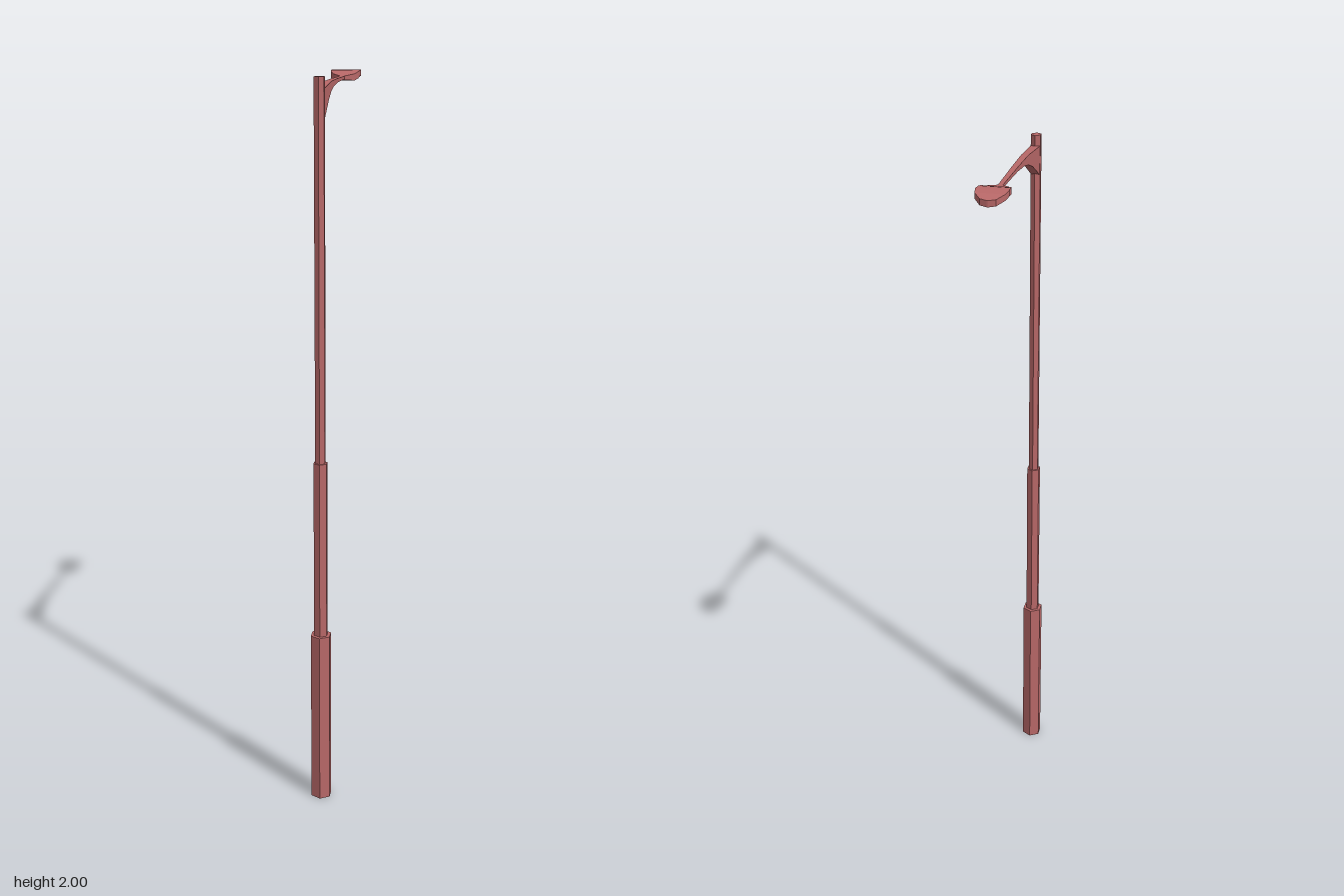
import * as THREE from 'three';

const material = new THREE.MeshStandardMaterial({ color: 0xb86868, flatShading: true });
const POLE_Z = 0.255;

function addMesh(group, name, geometry) {
  const mesh = new THREE.Mesh(geometry, material);
  mesh.name = name;
  group.add(mesh);
  return mesh;
}

// Loft of rectangular sections [z, half width, bottom y, top y], running towards -z
function loft(sections) {
  const positions = [];
  const index = [];
  for (const [z, w, b, t] of sections) positions.push(-w, b, z, w, b, z, w, t, z, -w, t, z);
  for (let s = 0; s < sections.length - 1; s++) {
    for (let i = 0; i < 4; i++) {
      const a = s * 4 + i;
      const b = s * 4 + (i + 1) % 4;
      index.push(a, b + 4, b, a, a + 4, b + 4);
    }
  }
  const e = (sections.length - 1) * 4;
  index.push(0, 1, 2, 0, 2, 3, e, e + 2, e + 1, e, e + 3, e + 2);
  const geometry = new THREE.BufferGeometry();
  geometry.setAttribute('position', new THREE.Float32BufferAttribute(positions, 3));
  geometry.setIndex(index);
  geometry.computeVertexNormals();
  return geometry;
}

export function createModel() {
  const group = new THREE.Group();
  group.name = 'streetLamp';

  // Hexagonal pole in three steps
  const steps = [
    ['poleBase', 0.03, 0, 0.5],
    ['poleMiddle', 0.02, 0.5, 1],
    ['poleTop', 0.015, 1, 2],
  ];
  for (const [name, radius, y0, y1] of steps) {
    const mesh = addMesh(group, name, new THREE.CylinderGeometry(radius, radius, y1 - y0, 6));
    mesh.position.set(0, (y0 + y1) / 2, POLE_Z);
  }

  // Arm with a curved bracket underneath
  addMesh(group, 'arm', loft([
    [0.25, 0.012, 1.893, 1.971],
    [0.165, 0.0105, 1.939, 1.978],
    [0.12, 0.0095, 1.956, 1.982],
    [0.075, 0.009, 1.966, 1.983],
    [0, 0.008, 1.973, 1.984],
    [-0.08, 0.007, 1.975, 1.984],
    [-0.158, 0.006, 1.976, 1.984],
  ]));

  // Arched lamp head
  addMesh(group, 'lampHead', loft([
    [-0.155, 0.006, 1.974, 1.984],
    [-0.183, 0.03, 1.971, 1.989],
    [-0.2, 0.038, 1.976, 1.994],
    [-0.215, 0.04, 1.981, 1.997],
    [-0.238, 0.041, 1.983, 1.998],
    [-0.262, 0.037, 1.98, 1.995],
    [-0.283, 0.02, 1.972, 1.988],
    [-0.288, 0.002, 1.97, 1.986],
  ]));

  return group;
}
